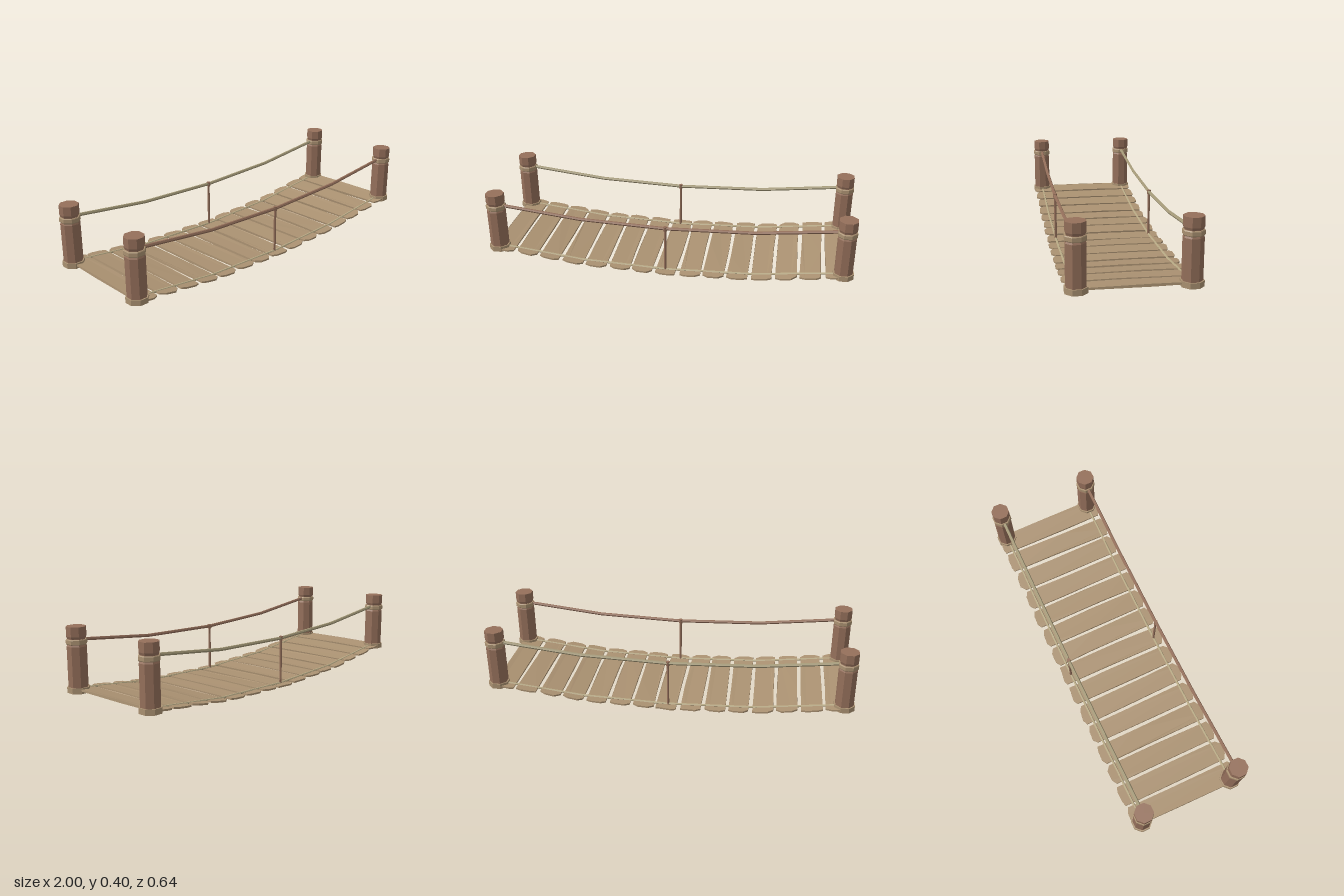
import * as THREE from 'three';

const mat = (color) => new THREE.MeshStandardMaterial({ color, flatShading: true });
const BROWN = mat(0x95705b), TAN = mat(0xab9272), OLIVE = mat(0xa69b79), CREAM = mat(0xb9ab86);
const POST_X = 0.9465, POST_Z = 0.269;

// small seeded generator for plank wear
let seed = 7;
const rand = () => ((seed = (seed * 16807) % 2147483647) / 2147483647) * 2 - 1;

function add(parent, name, geometry, material) {
  const mesh = new THREE.Mesh(geometry, material);
  mesh.name = name;
  parent.add(mesh);
  return mesh;
}

// octagonal turning, profile given as [distance to flat, y]
function octagon(profile) {
  const k = 1 / Math.cos(Math.PI / 8);
  const points = profile.map(([r, y]) => new THREE.Vector2(r * k, y));
  return new THREE.LatheGeometry(points, 8, Math.PI / 8);
}

// rope hanging in straight runs from post to post
function rope(yMid, yQuarter, yEnd, z, radius) {
  const pts = [[-POST_X, yEnd], [-0.46, yQuarter], [0, yMid], [0.46, yQuarter], [POST_X, yEnd]];
  const curve = new THREE.CatmullRomCurve3(pts.map(([x, y]) => new THREE.Vector3(x, y, z)));
  return new THREE.TubeGeometry(curve, 4, radius, 6);
}

// height of the sagging deck
function deckY(x) {
  const a = Math.abs(x);
  return a < 0.46 ? 0.012 + a * 0.033 : 0.027 + (a - 0.46) * 0.115;
}

// worn board with clipped ends, thinner toward its tips
function plank() {
  const w = 0.056, l = 0.322;
  const j = (s) => rand() * s;
  const outline = [
    [-w + j(0.003), -l + 0.018 + j(0.01)], [-w * 0.5, -l + 0.005 + j(0.004)],
    [w * 0.5, -l + 0.002 + j(0.002)], [w + j(0.003), -l + 0.018 + j(0.01)],
    [w + j(0.004), j(0.1)],
    [w + j(0.003), l - 0.018 + j(0.01)], [w * 0.5, l - 0.005 + j(0.004)],
    [-w * 0.5, l - 0.002 + j(0.002)], [-w + j(0.003), l - 0.018 + j(0.01)],
    [-w + j(0.004), j(0.1)],
  ].map(([x, y]) => new THREE.Vector2(x, y));
  const geo = new THREE.ExtrudeGeometry(new THREE.Shape(outline), { depth: 0.014, bevelEnabled: false });
  geo.translate(0, 0, -0.007).rotateX(-Math.PI / 2);
  const p = geo.attributes.position;
  for (let i = 0; i < p.count; i++) {
    if (Math.abs(p.getZ(i)) > 0.28) p.setY(i, p.getY(i) * 0.65);
  }
  geo.computeVertexNormals();
  return geo;
}

export function createModel() {
  const model = new THREE.Group();
  model.name = 'ropeBridge';

  // four corner posts with foot and lashing ring
  const postGeo = octagon([[0, 0.068], [0.047, 0.068], [0.047, 0.303], [0.043, 0.312],
    [0.043, 0.342], [0.047, 0.354], [0.047, 0.403], [0, 0.403]]);
  const footGeo = octagon([[0, 0.067], [0.0535, 0.067], [0.0535, 0.096], [0.046, 0.096]]);
  const ringGeo = octagon([[0.042, 0.313], [0.0475, 0.313], [0.05, 0.317], [0.05, 0.336],
    [0.0475, 0.34], [0.042, 0.34]]);
  for (const sx of [-1, 1]) {
    for (const sz of [-1, 1]) {
      const post = new THREE.Group();
      post.name = 'cornerPost';
      post.position.set(sx * POST_X, 0, sz * POST_Z);
      add(post, 'postShaft', postGeo, BROWN);
      add(post, 'postFoot', footGeo, TAN);
      add(post, 'lashingRing', ringGeo, TAN);
      model.add(post);
    }
  }

  // deck boards following the sag
  const deck = new THREE.Group();
  deck.name = 'deck';
  for (let i = 0; i < 15; i++) {
    const x = -0.91 + i * 0.13;
    const board = add(deck, 'plank', plank(), TAN);
    const slope = (deckY(x + 0.03) - deckY(x - 0.03)) / 0.06;
    board.position.set(x, deckY(x), 0);
    board.rotation.set(rand() * 0.005, rand() * 0.012, Math.atan(slope) + rand() * 0.02);
  }
  model.add(deck);

  // handrail ropes, deck ropes and middle stakes on both sides
  for (const s of [-1, 1]) {
    add(model, 'handRope', rope(0.268, 0.283, 0.336, s * POST_Z, 0.009), s > 0 ? BROWN : OLIVE);
    add(model, 'deckRope', rope(0.017, 0.032, 0.086, s * POST_Z, 0.006), CREAM);

    const stake = new THREE.Group();
    stake.name = 'middleStake';
    stake.position.set(-0.005, 0, s * POST_Z);
    add(stake, 'stakeShaft', new THREE.CylinderGeometry(0.007, 0.007, 0.264, 6), BROWN).position.y = 0.142;
    add(stake, 'stakeKnot', new THREE.CylinderGeometry(0.011, 0.011, 0.024, 6), BROWN).position.y = 0.267;
    model.add(stake);
  }
  return model;
}
